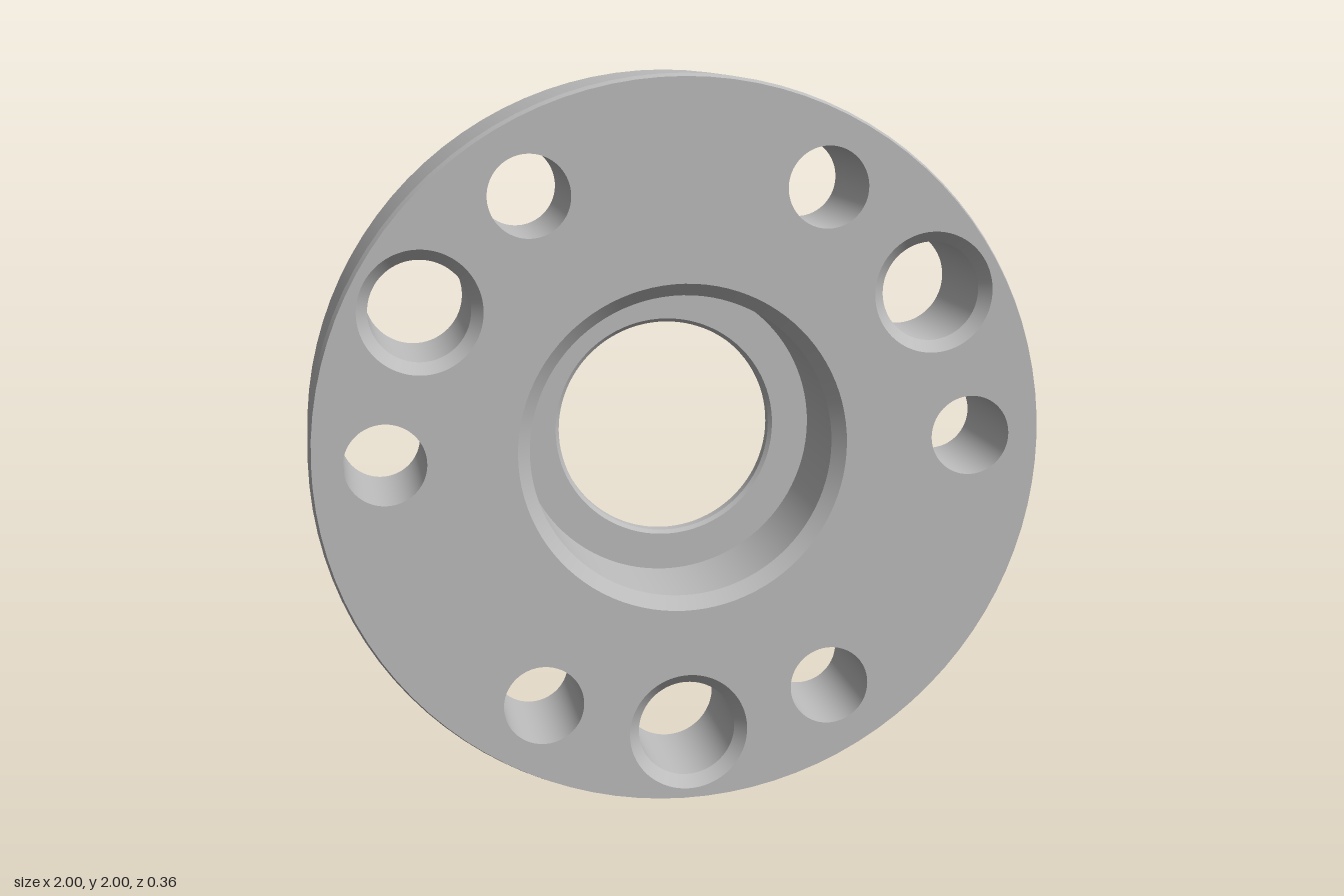
import * as THREE from 'three';

const FRONT = 0.18, BACK = -0.18, SEG = 96;
const BOLT_R = 0.8, TURN = THREE.MathUtils.degToRad(0.9);

export function createModel() {
  const model = new THREE.Group();
  model.name = 'flangeDisc';
  const steel = new THREE.MeshStandardMaterial({ color: 0xbcbcbc });
  steel.name = 'steel grey';

  const body = new THREE.Group();
  body.name = 'body';
  body.position.y = 1;
  model.add(body);

  function add(name, geometry, x = 0, y = 0, z = 0) {
    const mesh = new THREE.Mesh(geometry, steel);
    mesh.name = name;
    mesh.position.set(x, y, z);
    body.add(mesh);
    return mesh;
  }

  // Open cylinder or cone wall along z; inward walls are turned inside out
  function wall(name, rFront, zFront, rBack, zBack, inward, x = 0, y = 0) {
    const g = new THREE.CylinderGeometry(rFront, rBack, zFront - zBack, SEG, 1, true);
    g.rotateX(Math.PI / 2);
    if (inward) {
      const idx = g.index.array;
      for (let i = 0; i < idx.length; i += 3) [idx[i], idx[i + 1]] = [idx[i + 1], idx[i]];
      const n = g.attributes.normal.array;
      for (let i = 0; i < n.length; i++) n[i] = -n[i];
    }
    add(name, g, x, y, (zFront + zBack) / 2);
  }

  // Six plain holes and three countersunk holes on one bolt circle
  const polar = (deg) => {
    const a = THREE.MathUtils.degToRad(deg) + TURN;
    return [BOLT_R * Math.cos(a), BOLT_R * Math.sin(a)];
  };
  const holes = [];
  for (let i = 0; i < 6; i++) holes.push({ at: polar(i * 60), r: 0.11, rFront: 0.11 });
  for (let i = 0; i < 3; i++) holes.push({ at: polar(30 + i * 120), r: 0.135, rFront: 0.165 });

  // Flat faces, pierced by the bore and the bolt holes
  function face(radius, boreRadius, holeKey) {
    const shape = new THREE.Shape().absarc(0, 0, radius, 0, Math.PI * 2);
    const cut = (x, y, r) => shape.holes.push(new THREE.Path().absarc(x, y, r, 0, Math.PI * 2, true));
    cut(0, 0, boreRadius);
    for (const h of holes) cut(h.at[0], h.at[1], h[holeKey]);
    return new THREE.ShapeGeometry(shape, SEG / 2);
  }
  add('frontFace', face(0.992, 0.45, 'rFront'), 0, 0, FRONT);
  const back = face(1, 0.302, 'r');
  const idx = back.index.array;
  for (let i = 0; i < idx.length; i += 3) [idx[i], idx[i + 1]] = [idx[i + 1], idx[i]];
  back.computeVertexNormals();
  add('backFace', back, 0, 0, BACK);

  // Outer rim with a slim front chamfer
  wall('rimChamfer', 0.992, FRONT, 1, 0.155, false);
  wall('rim', 1, 0.155, 1, BACK, false);

  // Stepped centre bore: chamfer, seat wall, ledge and thin lip
  const ledge = -0.137;
  wall('boreChamfer', 0.45, FRONT, 0.415, 0.147, true);
  wall('boreWall', 0.415, 0.147, 0.415, ledge, true);
  add('boreLedge', new THREE.RingGeometry(0.312, 0.415, SEG), 0, 0, ledge);
  wall('lipChamfer', 0.312, ledge, 0.302, ledge - 0.01, true);
  wall('lipWall', 0.302, ledge - 0.01, 0.302, BACK, true);

  // Bolt hole walls and countersinks
  for (const { at, r, rFront } of holes) {
    const sunk = rFront > r;
    const top = sunk ? FRONT - 0.033 : FRONT;
    if (sunk) wall('countersink', rFront, FRONT, r, top, true, ...at);
    wall(sunk ? 'largeHoleWall' : 'smallHoleWall', r, top, r, BACK, true, ...at);
  }
  return model;
}
